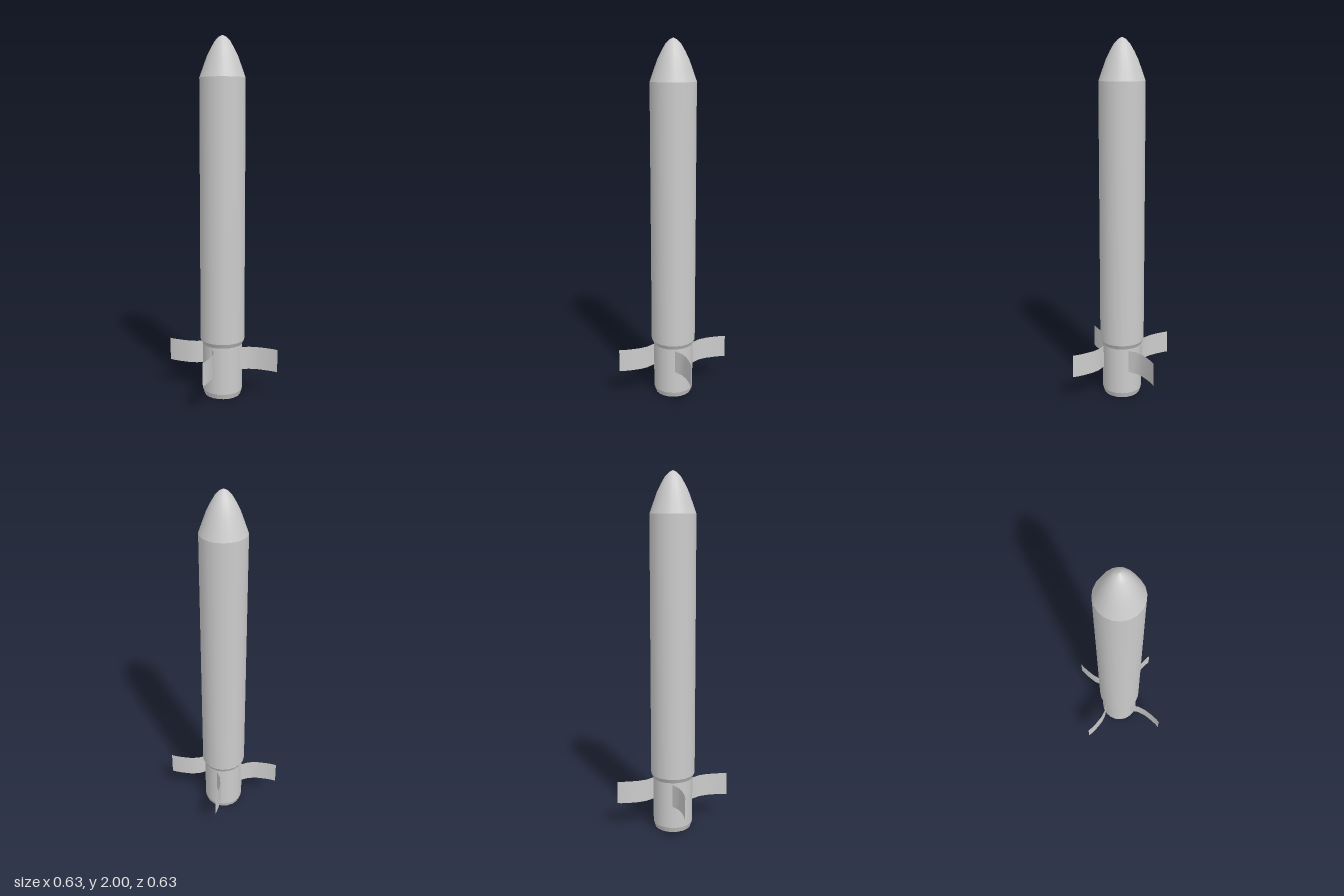
import * as THREE from 'three';

const SIDES = 20;

export function createModel() {
  const model = new THREE.Group();
  const grey = new THREE.MeshStandardMaterial({ color: 0xcccccc });
  const thin = new THREE.MeshStandardMaterial({ color: 0xcccccc, side: THREE.DoubleSide });

  // Turned section: profile of [radius, height], bottom to top for outward faces
  function turned(name, profile) {
    const points = profile.map(([r, y]) => new THREE.Vector2(r, y));
    const mesh = new THREE.Mesh(new THREE.LatheGeometry(points, SIDES), grey);
    mesh.name = name;
    model.add(mesh);
  }

  // Hull: separate sections keep the edges between them sharp
  turned('noseCone', [[0.125, 1.777], [0.106, 1.83], [0.084, 1.89], [0.064, 1.93], [0.042, 1.968], [0.02, 1.99], [0, 2]]);
  turned('mainBody', [[0.125, 0.325], [0.125, 1.777]]);
  turned('shoulder', [[0.112, 0.3], [0.125, 0.325]]);
  turned('tailSection', [[0.112, 0.03], [0.112, 0.3]]);
  turned('tailChamfer', [[0.102, 0], [0.112, 0.03]]);

  // Hollow nozzle: rim, inner wall and closed end
  turned('nozzleRim', [[0.08, 0], [0.102, 0]]);
  turned('nozzleWall', [[0.08, 0.16], [0.08, 0]]);
  turned('nozzleEnd', [[0, 0.16], [0.08, 0.16]]);

  // Four thin curved fins, each a strip swept along [x, z]
  const curve = [[0.11, 0], [0.125, -0.012], [0.152, -0.036], [0.195, -0.055], [0.25, -0.067], [0.29, -0.072], [0.314, -0.072]];
  const finGeometry = new THREE.PlaneGeometry(1, 0.13, curve.length - 1, 1);
  const position = finGeometry.attributes.position;
  for (let i = 0; i < position.count; i++) {
    const [x, z] = curve[i % curve.length];
    position.setXYZ(i, x, position.getY(i) + 0.225, z);
  }
  finGeometry.computeVertexNormals();
  const fins = new THREE.Group();
  fins.name = 'tailFins';
  for (let i = 0; i < 4; i++) {
    const fin = new THREE.Mesh(finGeometry, thin);
    fin.name = `fin${i + 1}`;
    fin.rotation.y = (i * Math.PI) / 2;
    fins.add(fin);
  }
  model.add(fins);

  return model;
}
